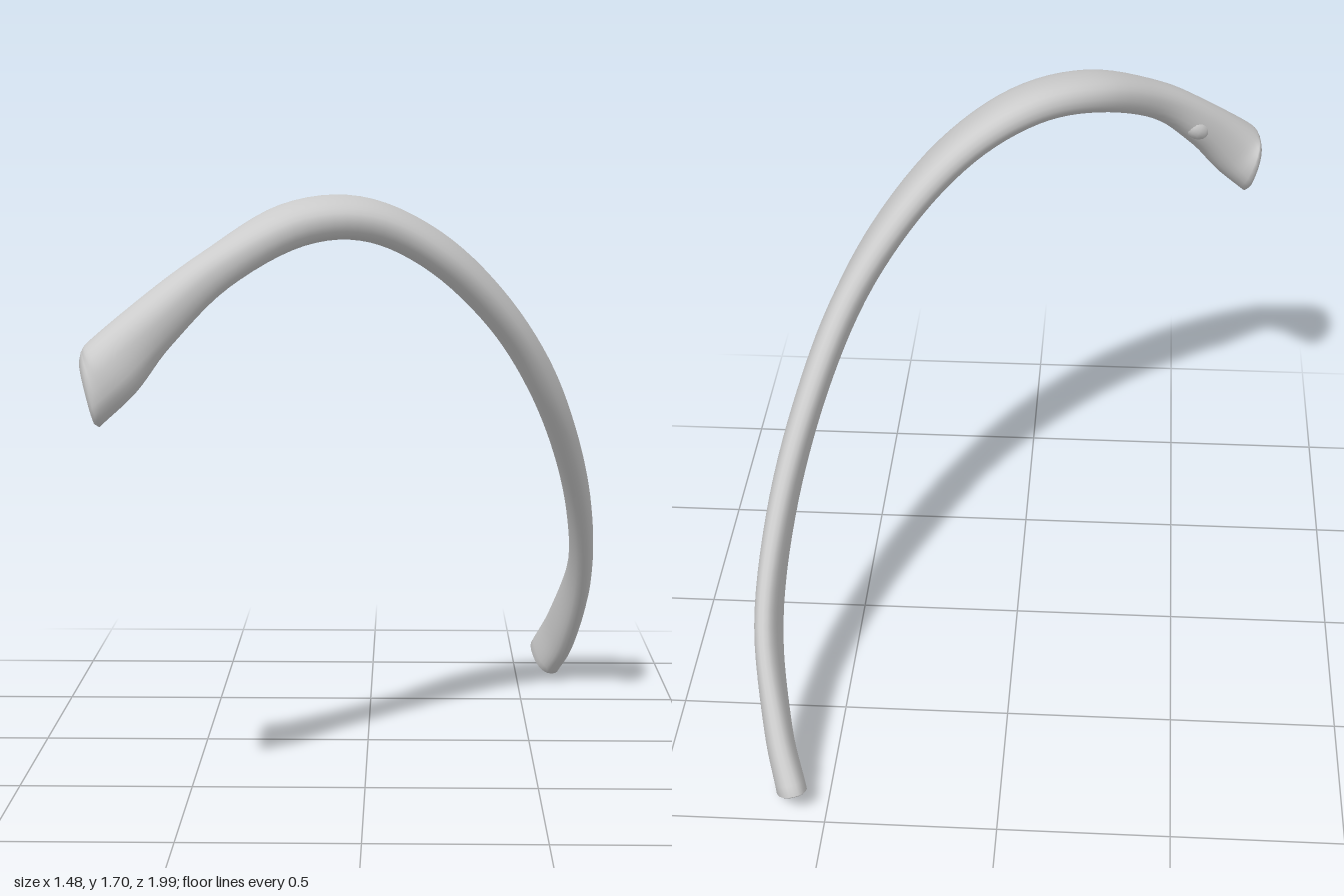
import * as THREE from 'three';

// Stations along the bone: centre, half-width vector, half-thickness
const STATIONS = [
  { c: [0.605, 0.055, -0.92], u: [-0.02, 0.045, -0.075], t: 0.044 },
  { c: [0.655, 0.19, -0.8], u: [-0.012, 0.06, -0.08], t: 0.041 },
  { c: [0.697, 0.42, -0.61], u: [0, 0.06, -0.09], t: 0.038 },
  { c: [0.677, 0.67, -0.41], u: [-0.004, 0.06, -0.09], t: 0.041 },
  { c: [0.614, 0.92, -0.21], u: [-0.012, 0.063, -0.091], t: 0.044 },
  { c: [0.517, 1.155, -0.02], u: [-0.025, 0.075, -0.08], t: 0.047 },
  { c: [0.38, 1.365, 0.13], u: [-0.055, 0.08, -0.075], t: 0.05 },
  { c: [0.2, 1.54, 0.27], u: [-0.055, 0.055, -0.09], t: 0.053 },
  { c: [0, 1.638, 0.39], u: [-0.055, 0.03, -0.09], t: 0.056 },
  { c: [-0.2, 1.628, 0.53], u: [-0.05, 0.01, -0.085], t: 0.058 },
  { c: [-0.4, 1.515, 0.715], u: [-0.035, 0, -0.062], t: 0.057 },
  { c: [-0.55, 1.385, 0.82], u: [-0.025, 0.015, -0.07], t: 0.072 },
  { c: [-0.655, 1.275, 0.885], u: [-0.015, 0.01, -0.09], t: 0.09 },
  { c: [-0.715, 1.215, 0.895], u: [-0.01, 0.005, -0.1], t: 0.1, v: [0.025, -0.097, 0.01] },
];
const RINGS = 78, SIDES = 24;

function curveOf(points) {
  return new THREE.CatmullRomCurve3(points.map((p) => new THREE.Vector3(...p)), false, 'catmullrom', 0.5);
}

function buildShaft() {
  const path = curveOf(STATIONS.map((s) => s.c));
  const widths = curveOf(STATIONS.map((s) => s.u));
  // Thickness runs across the path and the width, unless a station overrides it
  const depths = curveOf(STATIONS.map((s, i) => {
    if (s.v) return s.v;
    const along = path.getTangent(i / (STATIONS.length - 1));
    return along.cross(new THREE.Vector3(...s.u)).setLength(s.t).toArray();
  }));

  // Closed, softly rounded ends: extra rings shrink to the centre
  const rows = [[0, 0, -0.006], [0, 0.86, -0.005]];
  for (let i = 0; i <= RINGS; i++) rows.push([i / RINGS, 1, 0]);
  rows.push([1, 0.85, 0.012], [1, 0.5, 0.014], [1, 0, 0.01]);

  const positions = [], index = [];
  for (const [k, scale, push] of rows) {
    const centre = path.getPoint(k).addScaledVector(path.getTangent(k), push);
    const u = widths.getPoint(k), v = depths.getPoint(k);
    for (let j = 0; j < SIDES; j++) {
      const a = (j / SIDES) * Math.PI * 2;
      const round = (n) => Math.sign(n) * Math.pow(Math.abs(n), 0.85);
      const p = centre.clone()
        .addScaledVector(u, round(Math.cos(a)) * scale)
        .addScaledVector(v, round(Math.sin(a)) * scale);
      positions.push(p.x, p.y, p.z);
    }
  }
  for (let i = 0; i < rows.length - 1; i++) {
    for (let j = 0; j < SIDES; j++) {
      const a = i * SIDES + j, b = i * SIDES + (j + 1) % SIDES;
      const c = a + SIDES, d = b + SIDES;
      if (i > 0) index.push(a, b, c);
      if (i < rows.length - 2) index.push(b, d, c);
      else index.push(b, c, c);
    }
  }
  // Drop the collapsed triangles at the closing tip
  const faces = [];
  for (let i = 0; i < index.length; i += 3) {
    if (index[i + 1] !== index[i + 2]) faces.push(index[i], index[i + 1], index[i + 2]);
  }
  const geometry = new THREE.BufferGeometry();
  geometry.setAttribute('position', new THREE.Float32BufferAttribute(positions, 3));
  geometry.setIndex(faces);
  geometry.computeVertexNormals();
  return geometry;
}

export function createModel() {
  const bone = new THREE.MeshStandardMaterial({ color: 0xcccccc });
  const model = new THREE.Group();
  model.name = 'ribBone';

  const shaft = new THREE.Mesh(buildShaft(), bone);
  shaft.name = 'ribShaft';
  model.add(shaft);

  // Small knob on the neck, near the head
  const knob = new THREE.Mesh(new THREE.SphereGeometry(1, 14, 10), bone);
  knob.name = 'tubercle';
  knob.scale.set(0.05, 0.035, 0.035);
  knob.position.set(-0.53, 1.4, 0.755);
  knob.rotation.set(0, 0.6, 0.6);
  model.add(knob);

  return model;
}
